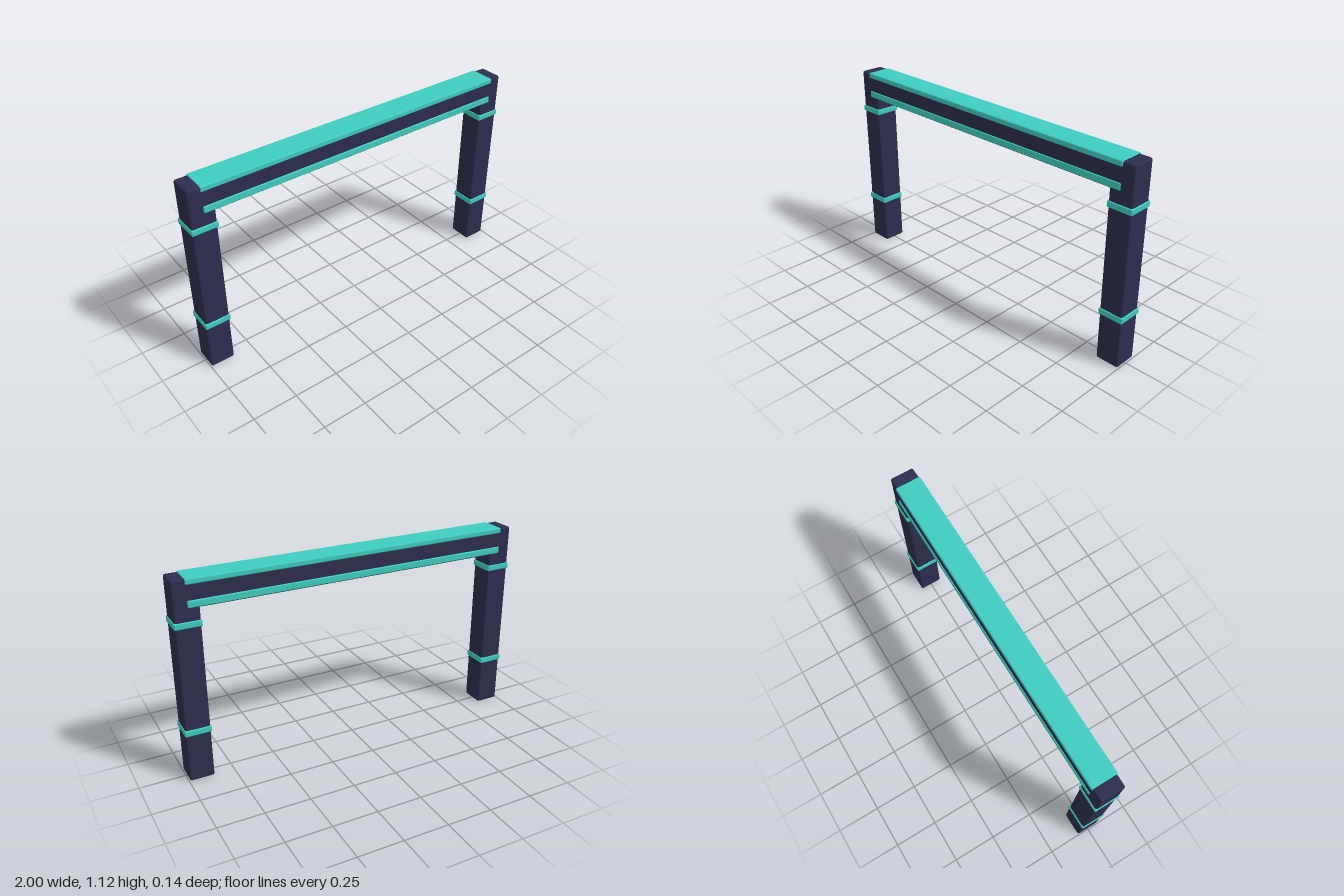
import * as THREE from 'three';
import { RoundedBoxGeometry } from 'three/addons/geometries/RoundedBoxGeometry.js';

const navy = new THREE.MeshStandardMaterial({ color: 0x2d2d4e });
navy.name = 'navy';
const teal = new THREE.MeshStandardMaterial({ color: 0x3ecdbe });
teal.name = 'teal';

// Rounded block spanning y0..y1, centred on x and z = 0
function block(name, material, width, depth, y0, y1, radius, x = 0) {
  const geometry = new RoundedBoxGeometry(width, y1 - y0, depth, 3, radius);
  const mesh = new THREE.Mesh(geometry, material);
  mesh.name = name;
  mesh.position.set(x, (y0 + y1) / 2, 0);
  return mesh;
}

export function createModel() {
  const model = new THREE.Group();
  model.name = 'gateway';

  // Posts with two trim bands each
  for (const [side, sign] of [['left', 1], ['right', -1]]) {
    const post = new THREE.Group();
    post.name = side + 'Post';
    const x = sign * 0.928;
    post.add(
      block(side + 'Column', navy, 0.134, 0.134, 0, 1.114, 0.011, x),
      block(side + 'LowerBand', teal, 0.144, 0.145, 0.269, 0.305, 0.007, x),
      block(side + 'UpperBand', teal, 0.144, 0.145, 0.864, 0.899, 0.007, x)
    );
    model.add(post);
  }

  // Crossbeam with trim along its top and lower edge
  model.add(
    block('crossbeam', navy, 1.85, 0.134, 0.964, 1.112, 0.004),
    block('topTrim', teal, 1.853, 0.145, 1.086, 1.117, 0.007),
    block('lowerTrim', teal, 1.847, 0.145, 0.967, 1.006, 0.007)
  );
  return model;
}
